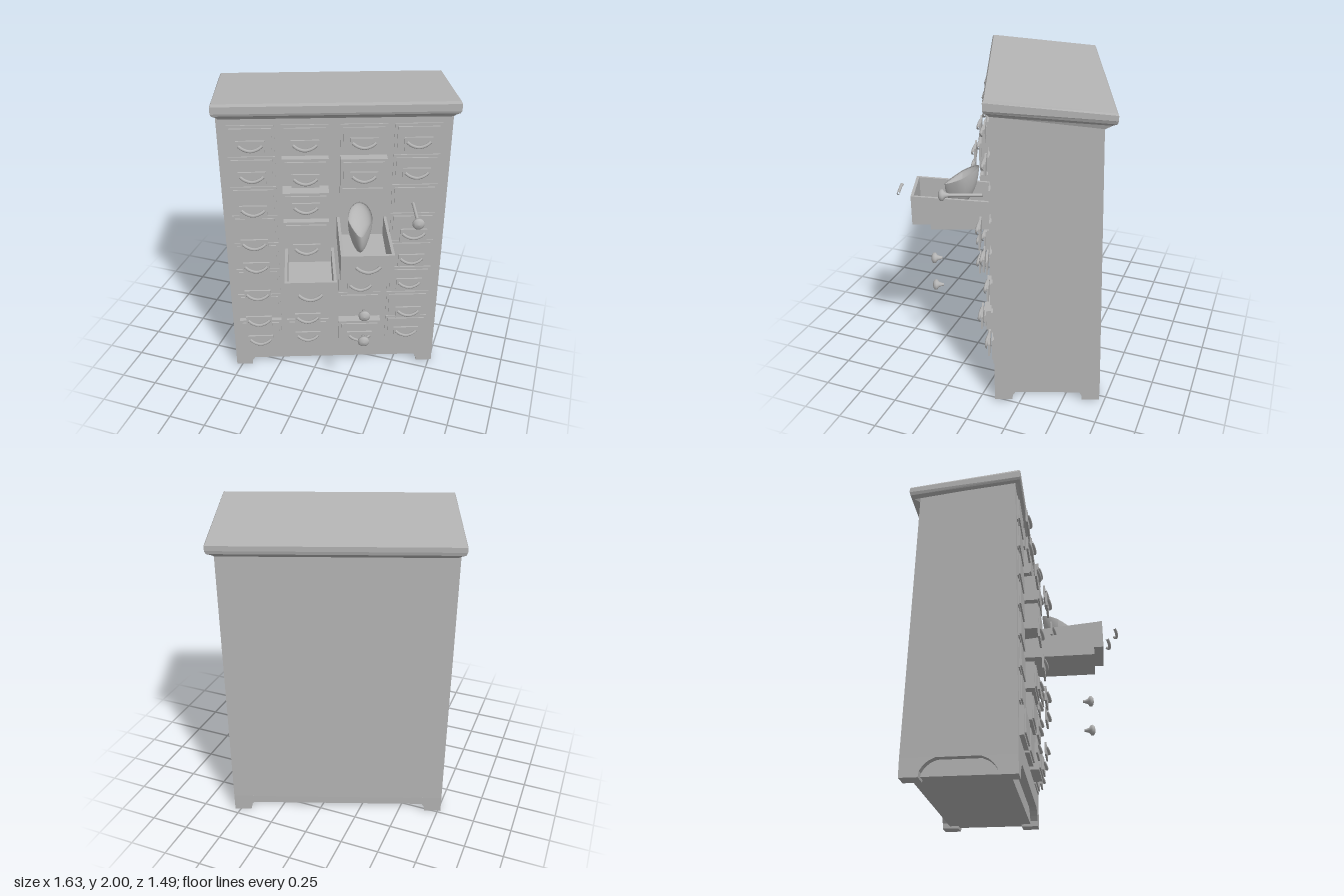
import * as THREE from 'three';

const grey = new THREE.MeshStandardMaterial({ color: 0xb4b4b4 });
grey.name = 'plainGrey';

function add(parent, name, geo, x = 0, y = 0, z = 0) {
  const mesh = new THREE.Mesh(geo, grey);
  mesh.name = name;
  mesh.position.set(x, y, z);
  parent.add(mesh);
  return mesh;
}

// Rectangle ring: yb is the height along the back edge, yf along the front edge
const ring = (x0, x1, z0, z1, yb, yf = yb) =>
  [[x0, yb, z0], [x0, yf, z1], [x1, yf, z1], [x1, yb, z0]];

// Skins rings from bottom to top with flat faces and both caps
function loft(rings) {
  const pos = [];
  const quad = (a, b, c, d) => pos.push(...a, ...b, ...c, ...a, ...c, ...d);
  for (let i = 0; i + 1 < rings.length; i++) {
    for (let k = 0; k < 4; k++) {
      const n = (k + 1) % 4;
      quad(rings[i][k], rings[i][n], rings[i + 1][n], rings[i + 1][k]);
    }
  }
  const b = rings[0], t = rings[rings.length - 1];
  quad(b[3], b[2], b[1], b[0]);
  quad(t[0], t[1], t[2], t[3]);
  const geo = new THREE.BufferGeometry();
  geo.setAttribute('position', new THREE.Float32BufferAttribute(pos, 3));
  geo.computeVertexNormals();
  return geo;
}

const W = 0.696, D = 0.332;

// Curved pull that sags in the middle
const pullCurve = new THREE.CatmullRomCurve3([
  [-0.07, 0.014, 0], [-0.045, -0.002, 0.01], [0, -0.014, 0.015],
  [0.045, -0.002, 0.01], [0.07, 0.014, 0],
].map(p => new THREE.Vector3(...p)));
const pull = new THREE.TubeGeometry(pullCurve, 14, 0.01, 6);

function addHandle(parent, x, y, z, plate = true) {
  const handle = new THREE.Group();
  handle.name = 'handle';
  handle.position.set(x, y, z);
  if (plate) add(handle, 'handlePlate', new THREE.BoxGeometry(0.17, 0.088, 0.012));
  add(handle, 'pull', pull, 0, 0, 0.006);
  parent.add(handle);
}

// Open drawer: sloping side walls, floor, front and back
function addTray(parent, x0, x1, y0, y1, zFront) {
  const tray = new THREE.Group();
  tray.name = 'openDrawer';
  const zb = 0.3, t = 0.018, yb = y1 - 0.045;
  add(tray, 'drawerFloor', loft([ring(x0, x1, zb, zFront, y0), ring(x0, x1, zb, zFront, y0 + t)]));
  for (const x of [x0, x1 - t]) {
    add(tray, 'drawerSide', loft([
      ring(x, x + t, zb, zFront, y0), ring(x, x + t, zb, zFront, yb, y1)]));
  }
  add(tray, 'drawerFront', loft([
    ring(x0, x1, zFront - t, zFront, y0), ring(x0, x1, zFront - t, zFront, y1)]));
  add(tray, 'drawerBack', loft([
    ring(x0, x1, zb, zb + t, y0), ring(x0, x1, zb, zb + t, yb)]));
  parent.add(tray);
}

// Mushroom knob turned round the z axis, on a stem of the given length
function addKnob(parent, x, y, z, stem) {
  const profile = [[0, -stem], [0.01, -stem], [0.01, -0.04], [0.018, -0.018],
    [0.036, -0.004], [0.036, 0.01], [0.022, 0.02], [0, 0.024]];
  const geo = new THREE.LatheGeometry(profile.map(p => new THREE.Vector2(...p)), 20);
  geo.rotateX(Math.PI / 2);
  add(parent, 'knob', geo, x, y, z);
}

export function createModel() {
  const model = new THREE.Group();
  model.name = 'drawerCabinet';
  const cabinet = new THREE.Group();
  cabinet.name = 'cabinet';
  cabinet.position.z = -0.163;
  cabinet.rotation.y = 0.356;
  model.add(cabinet);

  // Carcass, its back leaning in towards the top
  add(cabinet, 'carcass', loft([
    ring(-W, W, -D, D, 0.11),
    ring(-W - 0.014, W, -0.285, D, 1.85, 1.92),
  ]));

  // Base set back behind the arches
  add(cabinet, 'recessedBase', loft([
    ring(-W + 0.05, W - 0.05, -D + 0.05, D - 0.05, 0.015),
    ring(-W + 0.05, W - 0.05, -D + 0.05, D - 0.05, 0.12),
  ]));

  // Sloping lid with a moulded rim
  const lid = [
    [0.695, -0.285, 0.334, 1.825, 1.895],
    [0.705, -0.325, 0.345, 1.85, 1.91],
    [0.727, -0.348, 0.362, 1.865, 1.925],
    [0.735, -0.353, 0.367, 1.885, 1.94],
    [0.735, -0.353, 0.367, 1.915, 1.985],
    [0.727, -0.345, 0.358, 1.927, 2.0],
  ].map(([x, zb, zf, yb, yf]) => ring(-x, x, zb, zf, yb, yf));
  add(cabinet, 'lid', loft(lid));

  // Bracket feet flaring up into the arches
  const footSteps = [[0.11, 0], [0.115, 0.035], [0.135, 0.065], [0.165, 0.092], [0.21, 0.112]];
  for (const sx of [-1, 1]) {
    for (const sz of [-1, 1]) {
      const rings = footSteps.map(([s, y]) => {
        const xs = [sx * W, sx * (W - s)].sort((a, b) => a - b);
        const zs = [sz * D, sz * (D - s)].sort((a, b) => a - b);
        return ring(xs[0], xs[1], zs[0], zs[1], y);
      });
      add(cabinet, 'foot', loft(rings));
    }
  }

  // Drawer fronts and handles by column; 0 means none there
  const columns = [-0.51, -0.187, 0.167, 0.492];
  const fronts = [
    [0.35, 0.35, 0.35, 0.35, 0.35, 0.35, 0.35, 0.37],
    [0.35, 0.39, 0.44, 0.44, 0, 0.41, 0.39, 0.37],
    [0.35, 0.4, 0.35, 0, 0.35, 0.36, 0.35, 0.4],
    [0.35, 0.35, 0.35, 0.35, 0.35, 0.355, 0.35, 0.35],
  ];
  const handles = [
    [0.39, 0.39, 0.44, 0.5, 0.45, 0.47, 0.48, 0.43],
    [0.39, 0.43, 0.47, 0.51, 0, 0.42, 0.46, 0.4],
    [0.37, 0.41, 0, 0, 0, 0.39, 0, 0.41],
    [0.37, 0.37, 0, 0.41, 0.39, 0.37, 0.41, 0.37],
  ];
  columns.forEach((x, c) => {
    for (let r = 0; r < 8; r++) {
      const y = 1.766 - 0.206 * r, z = fronts[c][r], h = 0.09, w = 0.142;
      if (z) {
        add(cabinet, 'drawer', loft([
          ring(x - w, x + w, 0.3, z - 0.01, y - h), ring(x - w, x + w, 0.3, z - 0.01, y + h)]));
        add(cabinet, 'drawerPanel', new THREE.BoxGeometry(0.25, 0.145, 0.02), x, y, z - 0.01);
      }
      if (handles[c][r]) {
        const dy = c === 1 && r === 2 ? 0 : c === 1 && r === 3 ? -0.065 : -0.03;
        addHandle(cabinet, x, y + dy, handles[c][r]);
      }
    }
  });

  // Two pulled-out drawers with their pulls
  addTray(cabinet, -0.325, -0.01, 0.855, 1.025, 0.775);
  addTray(cabinet, 0.008, 0.322, 1.062, 1.255, 0.842);
  addHandle(cabinet, -0.17, 0.985, 0.855, false);
  addHandle(cabinet, 0.16, 1.222, 0.92, false);

  // Loose knobs, one on a long stem
  addKnob(cabinet, 0.165, 0.735, 0.735, 0.05);
  addKnob(cabinet, 0.165, 0.53, 0.735, 0.05);
  addKnob(cabinet, 0.48, 1.338, 0.63, 0.24);

  // Pear-shaped scoop in the upper drawer, its dished mouth sloping to the front
  const scoop = new THREE.SphereGeometry(1, 24, 16);
  const p = scoop.attributes.position;
  for (let i = 0; i < p.count; i++) {
    const y = p.getY(i), z = p.getZ(i), narrow = z > 0 ? 1 - 0.45 * z : 1;
    const rim = 1.32 - z * 0.06;
    p.setXYZ(i, p.getX(i) * 0.075 * narrow, rim + y * (y > 0 ? -0.05 : 0.2), z * 0.11);
  }
  scoop.computeVertexNormals();
  add(cabinet, 'scoop', scoop, 0.14, 0, 0.54);

  return model;
}
